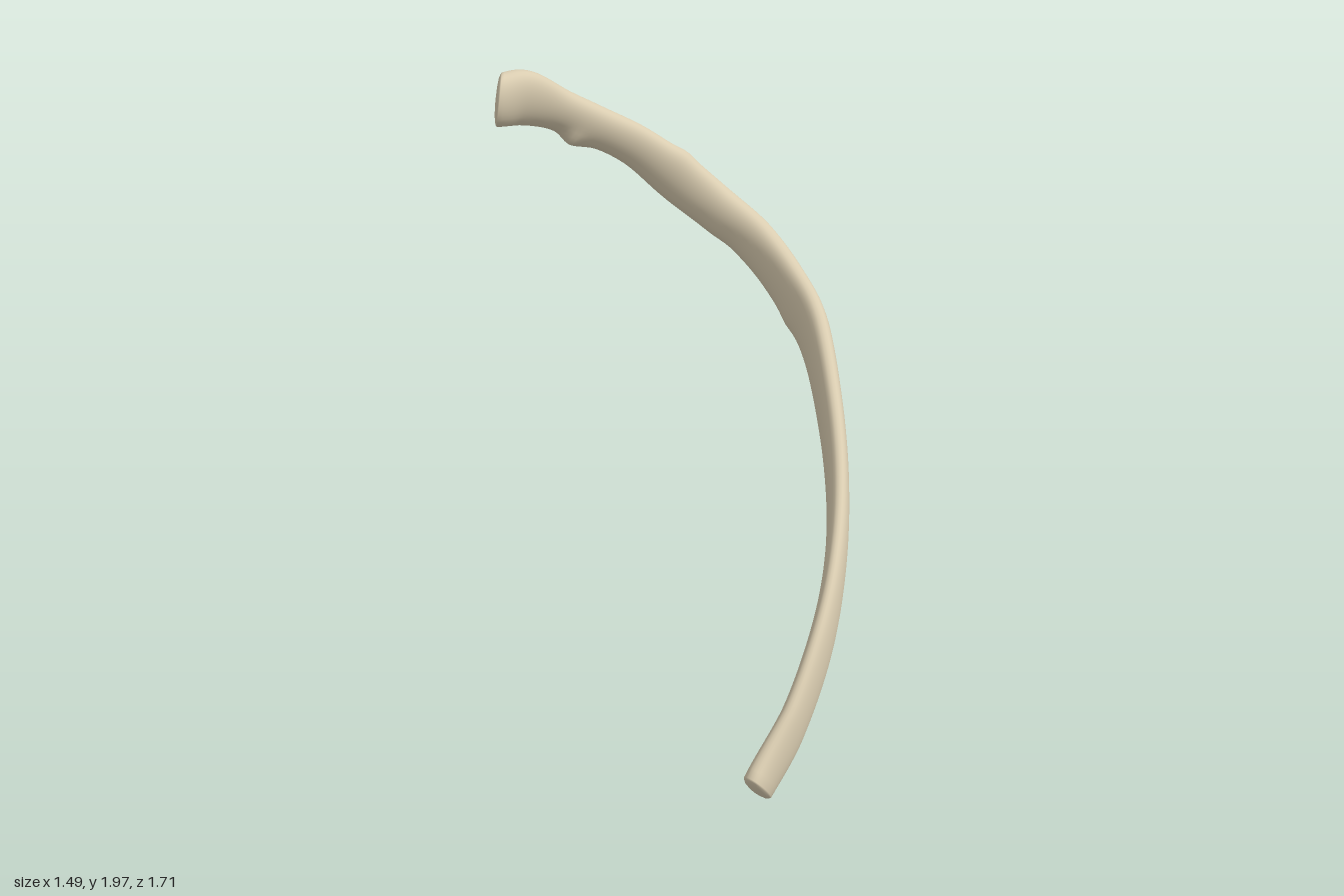
import * as THREE from 'three';

// Stations from head to front end: x, y, z, half height, half thickness, inward lean of top edge
const STATIONS = [
  [-0.715, 1.895, -0.33, 0.095, 0.062, 0.1],
  [-0.66, 1.885, -0.42, 0.1, 0.058, 0.2],
  [-0.57, 1.825, -0.53, 0.078, 0.055, 0.35],
  [-0.47, 1.755, -0.62, 0.076, 0.055, 0.35],
  [-0.34, 1.665, -0.71, 0.08, 0.054, 0.25],
  [-0.2, 1.545, -0.765, 0.093, 0.058, 0.15],
  [-0.05, 1.43, -0.79, 0.09, 0.062, 0.05],
  [0.12, 1.322, -0.755, 0.092, 0.058, 0],
  [0.28, 1.21, -0.635, 0.103, 0.052, 0],
  [0.42, 1.1, -0.47, 0.112, 0.048, 0],
  [0.545, 0.92, -0.23, 0.107, 0.042, 0],
  [0.635, 0.745, 0, 0.107, 0.038, 0],
  [0.688, 0.59, 0.22, 0.107, 0.036, 0],
  [0.7, 0.425, 0.42, 0.109, 0.036, -0.03],
  [0.67, 0.245, 0.62, 0.103, 0.037, -0.1],
  [0.605, 0.095, 0.795, 0.094, 0.042, -0.15],
];

// Bony bumps: x, y, z, reach, push
const BUMPS = [
  [-0.55, 1.72, -0.6, 0.06, 0.035],
  [-0.53, 1.71, -0.53, 0.03, 0.02],
  [-0.17, 1.64, -0.78, 0.05, 0.01],
  [0.3, 1.1, -0.6, 0.05, 0.01],
  [0.02, 1.32, -0.78, 0.06, -0.008],
];

const SIDES = 32;
const STEPS = 120;

function buildRib() {
  const path = new THREE.CatmullRomCurve3(STATIONS.map((s) => new THREE.Vector3(s[0], s[1], s[2])));
  const size = new THREE.CatmullRomCurve3(STATIONS.map((s) => new THREE.Vector3(s[3], s[4], s[5])));
  path.curveType = size.curveType = 'catmullrom';
  const bumps = BUMPS.map(([x, y, z, reach, push]) => ({ at: new THREE.Vector3(x, y, z), reach, push }));
  const positions = [];
  const index = [];

  function ring(u, scale, along) {
    const c = path.getPoint(u);
    const d = size.getPoint(u);
    const T = path.getTangent(u);
    const up = new THREE.Vector3(0, 1, 0).addScaledVector(T, -T.y).normalize();
    const inward = new THREE.Vector3().crossVectors(T, up);
    const U = up.clone().multiplyScalar(Math.cos(d.z)).addScaledVector(inward, Math.sin(d.z));
    const N = new THREE.Vector3().crossVectors(T, U);
    const slant = -0.67 * Math.max(0, 1 - u * 10); // oblique face of the head
    for (let j = 0; j < SIDES; j++) {
      const a = (j / SIDES) * Math.PI * 2;
      const s = Math.sin(a);
      const n = Math.sign(s) * Math.pow(Math.abs(s), 0.85) * d.y * scale;
      const offset = U.clone().multiplyScalar(Math.cos(a) * d.x * scale)
        .addScaledVector(N, n).addScaledVector(T, n * slant);
      const p = c.clone().add(offset);
      const out = offset.clone().normalize();
      for (const b of bumps) {
        p.addScaledVector(out, scale * b.push * Math.exp(-p.distanceToSquared(b.at) / (b.reach * b.reach)));
      }
      p.addScaledVector(T, along);
      positions.push(p.x, p.y, p.z);
    }
  }

  // Rounded head, shaft, rounded front end
  const caps = [[0.02, 0.016], [0.5, 0.014], [0.8, 0.01], [0.93, 0.005]];
  for (const [scale, along] of caps) ring(0, scale, -along);
  for (let i = 0; i <= STEPS; i++) ring(i / STEPS, 1, 0);
  for (const [scale, along] of [...caps].reverse()) ring(1, scale, along);

  const rings = positions.length / 3 / SIDES;
  for (let i = 0; i < rings - 1; i++) {
    for (let j = 0; j < SIDES; j++) {
      const k = (j + 1) % SIDES;
      const a = i * SIDES + j, b = i * SIDES + k;
      index.push(a, b, a + SIDES, b, b + SIDES, a + SIDES);
    }
  }
  // Close both ends
  const last = (rings - 1) * SIDES;
  for (let j = 1; j < SIDES - 1; j++) {
    index.push(0, j + 1, j, last, last + j, last + j + 1);
  }

  const geometry = new THREE.BufferGeometry();
  geometry.setAttribute('position', new THREE.Float32BufferAttribute(positions, 3));
  geometry.setIndex(index);
  geometry.computeVertexNormals();
  return geometry;
}

export function createModel() {
  const group = new THREE.Group();
  group.name = 'rib';
  const bone = new THREE.MeshStandardMaterial({ color: 0xd9ccb0 });
  bone.name = 'bone';
  const rib = new THREE.Mesh(buildRib(), bone);
  rib.name = 'ribBone';
  group.add(rib);
  return group;
}
